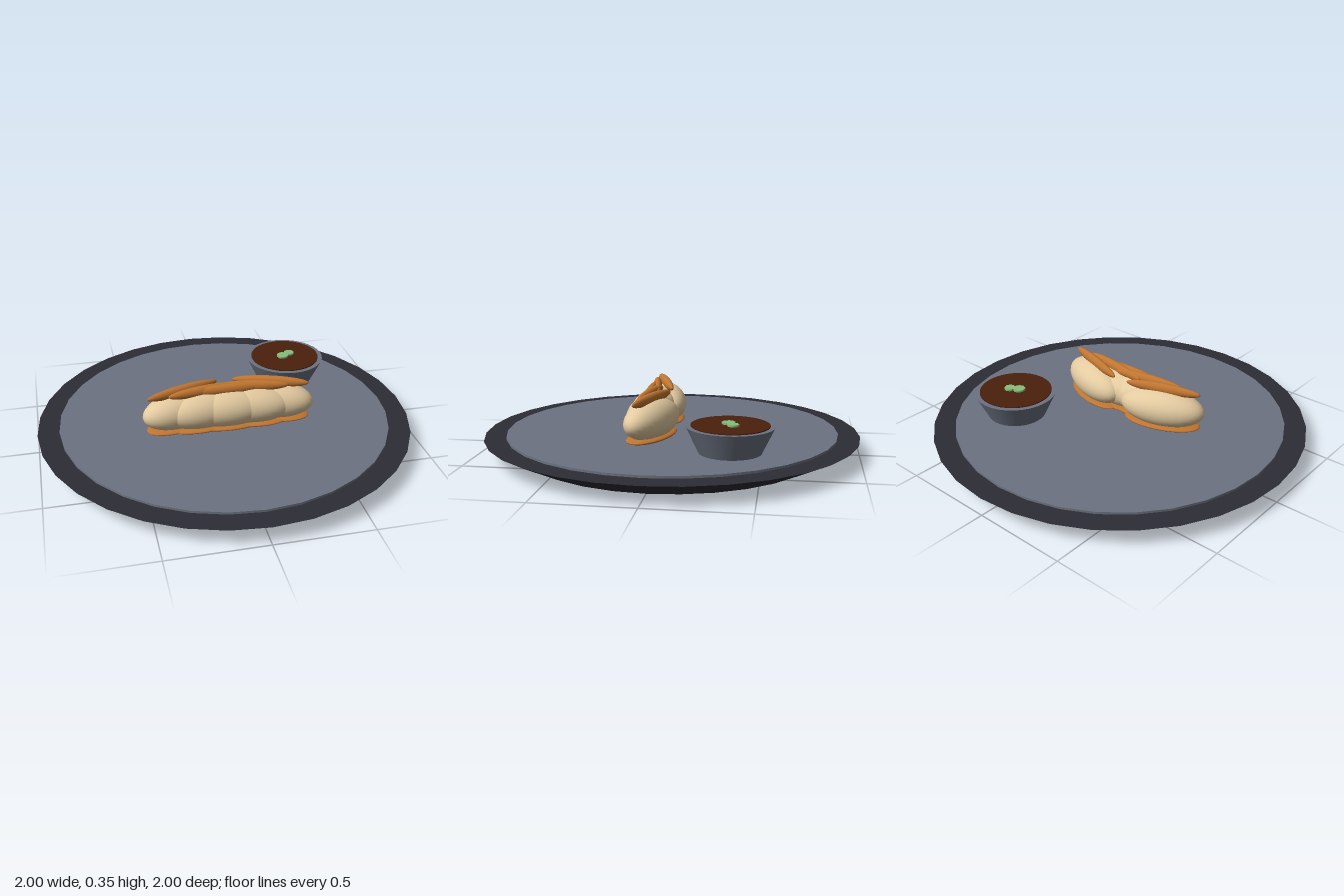
import * as THREE from 'three';

const material = (name, color) => {
  const m = new THREE.MeshStandardMaterial({ color });
  m.name = name;
  return m;
};

export function createModel() {
  const plateDark = material('plate charcoal', 0x2d2d35);
  const slate = material('slate grey', 0x6b7280);
  const dough = material('dough cream', 0xe3caa0);
  const crust = material('toasted brown', 0xc07530);
  const sauceBrown = material('sauce brown', 0x4a200c);
  const green = material('scallion green', 0x86bf7c);

  const model = new THREE.Group();
  model.name = 'dumplingPlate';

  const disc = (name, mat, rTop, rBottom, y0, y1, x = 0, z = 0, sides = 32) => {
    const mesh = new THREE.Mesh(new THREE.CylinderGeometry(rTop, rBottom, y1 - y0, sides), mat);
    mesh.name = name;
    mesh.position.set(x, (y0 + y1) / 2, z);
    model.add(mesh);
  };

  const ball = new THREE.SphereGeometry(1, 32, 20);
  const ellipsoid = (parent, name, mat, y, rx, ry, rz) => {
    const mesh = new THREE.Mesh(ball, mat);
    mesh.name = name;
    mesh.position.y = y;
    mesh.scale.set(rx, ry, rz);
    parent.add(mesh);
  };

  // Plate with raised inner surface
  disc('plate', plateDark, 1, 0.8, 0, 0.1);
  disc('plateInner', slate, 0.885, 0.885, 0.095, 0.112);

  // Five overlapping dumplings fanned along an arc
  const arcRadius = 0.75;
  for (let i = -2; i <= 2; i++) {
    const angle = i * 0.16;
    const dumpling = new THREE.Group();
    dumpling.name = 'dumpling';
    dumpling.position.set(Math.sin(angle) * arcRadius, 0, 0.108 - arcRadius * (1 - Math.cos(angle)));
    dumpling.rotation.y = -angle * 1.0;
    // Outer ends swing towards the front
    ellipsoid(dumpling, 'dumplingBody', dough, 0.215, 0.231, 0.102, 0.108);
    ellipsoid(dumpling, 'crispBase', crust, 0.13, 0.211, 0.02, 0.098);
    ellipsoid(dumpling, 'pleatedCrest', crust, 0.322, 0.205, 0.031, 0.024);
    model.add(dumpling);
  }

  // Dipping bowl with sauce and garnish
  const bx = 0.44, bz = -0.35;
  disc('sauceBowl', slate, 0.218, 0.155, 0.11, 0.244, bx, bz);
  disc('sauce', sauceBrown, 0.193, 0.193, 0.24, 0.249, bx, bz);
  disc('garnish', green, 0.034, 0.034, 0.246, 0.259, 0.425, -0.34, 8);
  disc('garnish', green, 0.03, 0.03, 0.246, 0.259, 0.47, -0.365, 8);

  return model;
}
